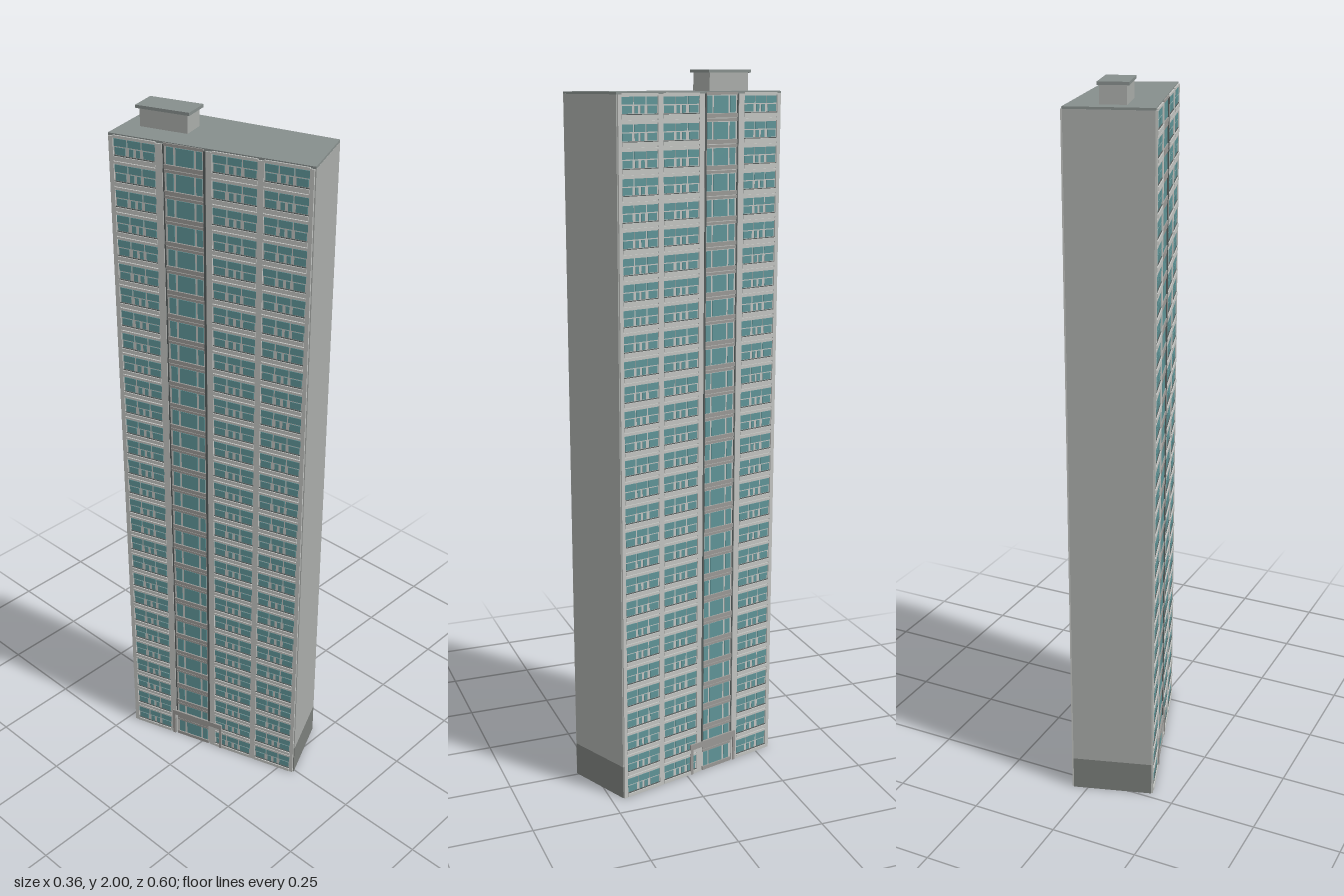
import * as THREE from 'three';
import { mergeGeometries } from 'three/addons/utils/BufferGeometryUtils.js';

const mat = (name, color) => {
  const m = new THREE.MeshStandardMaterial({ color });
  m.name = name;
  return m;
};

const FLOORS = 29, HEIGHT = 1.945, PITCH = HEIGHT / FLOORS;
// Footprint corners as [x, z]
const A = [0.04, -0.296], B = [0.176, 0.213], C = [-0.007, 0.294], D = [-0.177, -0.23];

export function createModel() {
  const M = {
    endWall: mat('end wall grey', 0xa9aca9),
    facade: mat('facade light grey', 0xc2c4c1),
    roof: mat('roof grey', 0x868e8c),
    base: mat('base grey', 0x7c7f7c),
    glass: mat('teal glass', 0x5f9497),
    shade: mat('dark joint', 0x565c5b),
    stair: mat('stair bay grey', 0x9a9996),
  };
  const model = new THREE.Group();
  model.name = 'apartmentTower';

  const add = (parent, name, geometry, material) => {
    const mesh = new THREE.Mesh(geometry, material);
    mesh.name = name;
    parent.add(mesh);
    return mesh;
  };

  // Vertical prism over a footprint
  const prism = (corners, y0, y1) => {
    const shape = new THREE.Shape(corners.map(([x, z]) => new THREE.Vector2(x, -z)));
    const g = new THREE.ExtrudeGeometry(shape, { depth: y1 - y0, bevelEnabled: false });
    return g.rotateX(-Math.PI / 2).translate(0, y0, 0);
  };

  // Box given by its extents along the wall, up and outward
  const slab = (u0, u1, y0, y1, w0, w1) =>
    new THREE.BoxGeometry(u1 - u0, y1 - y0, w1 - w0)
      .translate((u0 + u1) / 2, (y0 + y1) / 2, (w0 + w1) / 2);

  // Group whose x runs from P to Q and whose z points out of the wall
  const wallFrame = (name, P, Q) => {
    const dx = Q[0] - P[0], dz = Q[1] - P[1];
    const group = new THREE.Group();
    group.name = name;
    group.position.set(P[0], 0, P[1]);
    group.rotation.y = Math.atan2(-dz, dx);
    model.add(group);
    return { group, length: Math.hypot(dx, dz) };
  };

  // Body and roof
  add(model, 'towerBody', prism([A, D, C, B], 0, HEIGHT - 0.006), M.endWall);
  const grow = ([x, z]) => [x * 1.01, z * 1.01];
  add(model, 'roofSlab', prism([A, D, C, B].map(grow), HEIGHT - 0.006, HEIGHT), M.roof);

  // Blank end walls with a dark plinth
  for (const [name, P, Q] of [['frontEnd', C, B], ['backEnd', A, D]]) {
    const { group, length } = wallFrame(name, P, Q);
    add(group, 'plinth', slab(0, length, 0, 0.097, 0, 0.003), M.base);
    add(group, 'endPanel', slab(0, length, 0.097, HEIGHT - 0.006, 0, 0.003), M.endWall);
  }

  // Long facade; flip mirrors the bay order along the wall
  const buildFacade = (name, P, Q, flip) => {
    const { group, length: L } = wallFrame(name, P, Q);
    const parts = { glass: [], facade: [], shade: [], stair: [] };
    const put = (kind, s0, s1, y0, y1, w0, w1) => {
      const [u0, u1] = flip ? [1 - s1, 1 - s0] : [s0, s1];
      parts[kind].push(slab(u0 * L, u1 * L, y0, y1, w0, w1));
    };
    const bays = [[0.022, 0.237], [0.517, 0.737], [0.767, 0.98]];
    const piers = [[0, 0.022], [0.237, 0.272], [0.487, 0.517], [0.737, 0.767], [0.98, 1]];

    put('facade', 0, 1, 0, HEIGHT - 0.006, 0, 0.001);
    for (const [a, b] of piers) put('facade', a, b, 0, HEIGHT - 0.006, 0.001, 0.005);
    // Dark joints beside the stair bay
    put('shade', 0.476, 0.487, 0.09, HEIGHT - 0.006, 0.001, 0.006);
    put('shade', 0.272, 0.279, 0.09, HEIGHT - 0.006, 0.001, 0.003);

    for (let i = 0; i < FLOORS; i++) {
      const y = i * PITCH;
      for (const [a, b] of bays) {
        const at = (t) => a + (b - a) * t;
        // Transom strip split by mullions, then the lower panes
        for (const [p, q] of [[0.01, 0.31], [0.34, 0.65], [0.68, 0.99]])
          put('glass', at(p), at(q), y + 0.036, y + 0.055, 0.001, 0.0025);
        for (const [p, q] of [[0.03, 0.28], [0.37, 0.47], [0.54, 0.63], [0.71, 0.97]])
          put('glass', at(p), at(q), y + 0.014, y + 0.033, 0.001, 0.0025);
        // Projecting parapet band with its shadow joint
        put('facade', a, b, y + 0.001, y + 0.011, 0.001, 0.007);
        put('shade', a, b, y + 0.011, y + 0.0128, 0.001, 0.004);
        put('facade', a, b, y + 0.058, y + 0.064, 0.001, 0.005);
      }
      // Stair bay windows and spandrels
      put('stair', 0.279, 0.476, y, y + 0.011, 0.001, 0.005);
      put('stair', 0.279, 0.476, y + 0.058, y + 0.065, 0.001, 0.004);
      for (const [a, b] of [[0.29, 0.325], [0.337, 0.427], [0.438, 0.468]])
        put('glass', a, b, y + 0.012, y + 0.056, 0.001, 0.0025);
    }
    // Entrance surround
    put('stair', 0.25, 0.56, 0.078, 0.095, 0.001, 0.008);
    for (const s of [0.25, 0.545]) put('stair', s, s + 0.015, 0, 0.078, 0.001, 0.008);

    const labels = { glass: 'windows', facade: 'wallPanels', shade: 'joints', stair: 'stairBay' };
    for (const kind in parts) add(group, labels[kind], mergeGeometries(parts[kind]), M[kind]);
  };
  buildFacade('leftFacade', B, A, true);
  buildFacade('rightFacade', D, C, false);

  // Rooftop plant room with an overhanging lid
  const lid = [[-0.025, -0.24], [-0.1, -0.215], [-0.053, -0.073], [0.021, -0.097]];
  const cx = -0.039, cz = -0.156;
  const room = lid.map(([x, z]) => [cx + (x - cx) * 0.86, cz + (z - cz) * 0.9]);
  add(model, 'plantRoom', prism(room, HEIGHT, 1.992), M.endWall);
  add(model, 'plantRoomLid', prism(lid, 1.992, 2), M.roof);

  return model;
}
